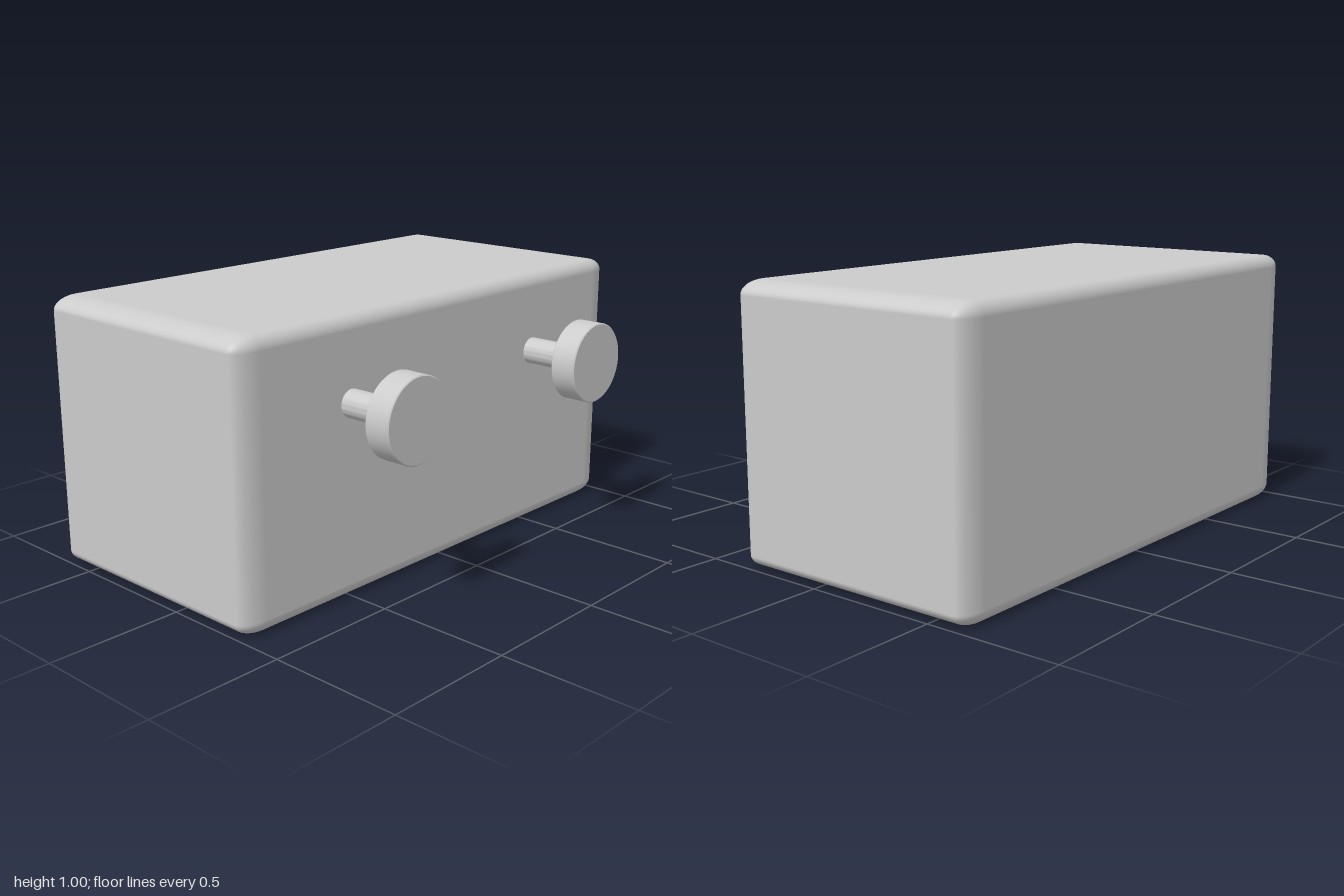
import * as THREE from 'three';
import { toCreasedNormals } from 'three/addons/utils/BufferGeometryUtils.js';
import { RoundedBoxGeometry } from 'three/addons/geometries/RoundedBoxGeometry.js';

const grey = new THREE.MeshStandardMaterial({ color: 0xcccccc });

// Round bar along +x from x0 to x1, with a fine chamfer on both rims
function roundBar(name, radius, x0, x1, chamfer = 0.004) {
  const length = x1 - x0;
  const profile = [
    [0, 0], [radius - chamfer, 0], [radius, chamfer],
    [radius, length - chamfer], [radius - chamfer, length], [0, length],
  ].map(([r, y]) => new THREE.Vector2(r, y));
  const geometry = toCreasedNormals(new THREE.LatheGeometry(profile, 48), 0.5);
  geometry.rotateZ(-Math.PI / 2).translate(x0, 0, 0);
  const mesh = new THREE.Mesh(geometry, grey);
  mesh.name = name;
  return mesh;
}

export function createModel() {
  const model = new THREE.Group();
  model.name = 'drawerBlock';

  // Body: softly rounded unit cube stretched to double depth
  const bodyGeometry = new RoundedBoxGeometry(1, 1, 1, 6, 0.05);
  bodyGeometry.scale(1, 1, 2);
  const body = new THREE.Mesh(bodyGeometry, grey);
  body.name = 'body';
  body.position.set(-0.15, 0.5, 0);
  model.add(body);

  // Two knobs on stems, on the +x side
  for (const [name, z] of [['frontKnob', 0.5], ['backKnob', -0.5]]) {
    const knob = new THREE.Group();
    knob.name = name;
    knob.add(roundBar('stem', 0.05, 0.33, 0.551), roundBar('disc', 0.15, 0.55, 0.65));
    knob.position.set(0, 0.7, z);
    model.add(knob);
  }
  return model;
}
